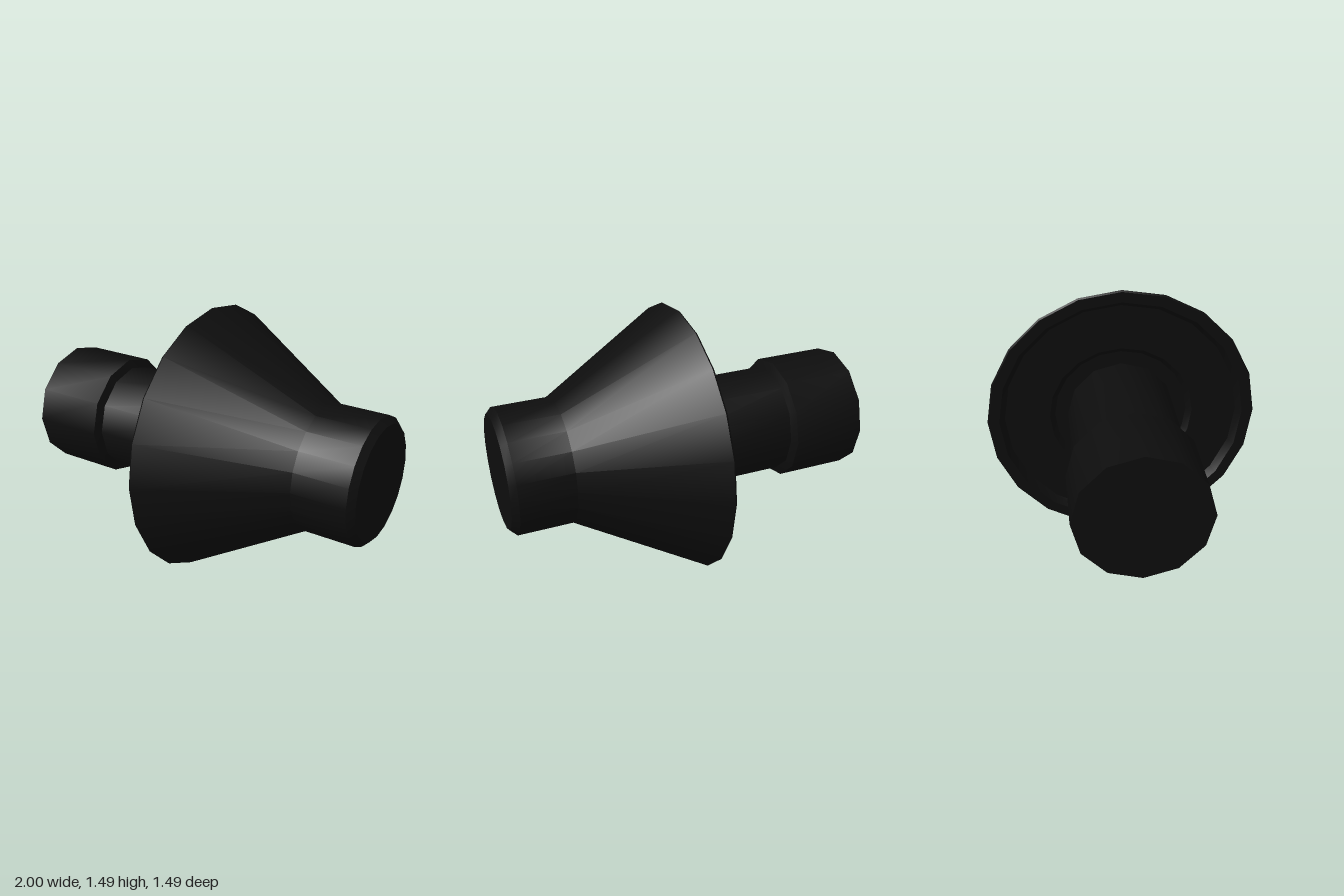
import * as THREE from 'three';
import { toCreasedNormals } from 'three/addons/utils/BufferGeometryUtils.js';

const AXIS_HEIGHT = 0.745;

// Turned part along the x axis; profile is [x, radius] from -x to +x
function turned(name, profile, sides, material) {
  const points = profile.map(([x, r]) => new THREE.Vector2(r, x));
  const lathe = new THREE.LatheGeometry(points, sides);
  lathe.rotateZ(-Math.PI / 2);
  const mesh = new THREE.Mesh(toCreasedNormals(lathe, 0.56), material);
  mesh.name = name;
  mesh.position.y = AXIS_HEIGHT;
  return mesh;
}

export function createModel() {
  const group = new THREE.Group();
  group.name = 'conePlug';
  const black = new THREE.MeshStandardMaterial({ color: 0x0d0d0d });
  black.name = 'black';

  // Thick end knob stepping down to the shaft
  group.add(turned('shaft', [
    [-1, 0], [-1, 0.342], [-0.6, 0.342], [-0.58, 0.297], [0.05, 0.297],
  ], 12, black));

  // Cone with a recessed back, a groove round the shaft and a chamfered nose
  group.add(turned('cone', [
    [0.04, 0.28], [0.04, 0.37], [0.01, 0.4], [0.01, 0.65],
    [-0.03, 0.68], [-0.03, 0.738], [-0.02, 0.745],
    [0.665, 0.345], [0.965, 0.345], [1, 0.31], [1, 0],
  ], 20, black));

  return group;
}
